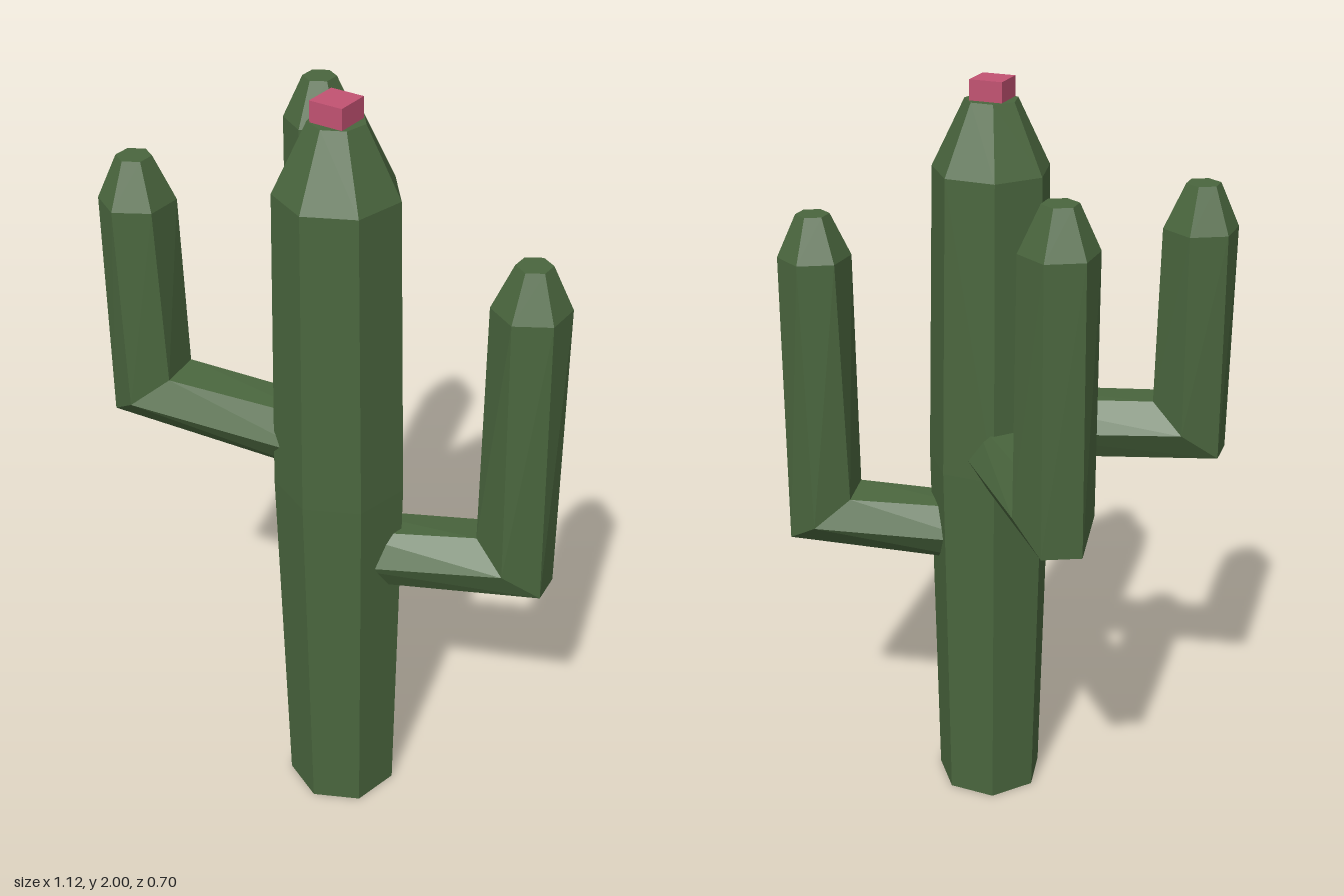
import * as THREE from 'three';

const green = new THREE.MeshStandardMaterial({ color: 0x4a663e, flatShading: true });
const pink = new THREE.MeshStandardMaterial({ color: 0xc25272, flatShading: true });
const TRUNK = { x: 0.04, z: 0.15 };
const SIDES = 6;

// Skin a list of equal-sized vertex rings and close both ends.
function skin(rings) {
  const n = rings[0].length, index = [];
  for (let k = 0; k < rings.length - 1; k++) {
    for (let i = 0; i < n; i++) {
      const a = k * n + i, b = k * n + (i + 1) % n;
      index.push(a, b, b + n, a, b + n, a + n);
    }
  }
  const last = (rings.length - 1) * n;
  for (let i = 1; i < n - 1; i++) {
    index.push(0, i + 1, i, last, last + i, last + i + 1);
  }
  const geo = new THREE.BufferGeometry();
  geo.setAttribute('position', new THREE.Float32BufferAttribute(rings.flat(2), 3));
  geo.setIndex(index);
  const flat = geo.toNonIndexed();
  flat.computeVertexNormals();
  return flat;
}

// An arm leaves the trunk, turns up at a mitred elbow and ends in a blunt tip.
function makeArm(name, { x, z, startY, elbowY, shoulderY, tipY }) {
  const dir = new THREE.Vector2(x - TRUNK.x, z - TRUNK.z).normalize();
  const step = Math.PI * 2 / SIDES;
  let twist = Math.atan2(-dir.y, dir.x);
  twist -= Math.round(twist / step) * step;

  const ring = (r, turn, place) => Array.from({ length: SIDES }, (_, i) => {
    const a = i * step + turn;
    const ox = r * Math.sin(a), oz = r * Math.cos(a);
    return place(ox, oz, ox * dir.x + oz * dir.y);
  });
  const level = (y) => (ox, oz) => [x + ox, y, z + oz];

  const geo = skin([
    ring(0.092, twist, (ox, oz, along) =>
      [TRUNK.x + ox - along * dir.x, startY - along, TRUNK.z + oz - along * dir.y]),
    ring(0.1, twist / 2, (ox, oz, along) => [x + ox, elbowY - 0.78 * along, z + oz]),
    ring(0.094, 0, level(shoulderY)),
    ring(0.043, 0, level(tipY)),
  ]);
  const mesh = new THREE.Mesh(geo, green);
  mesh.name = name;
  return mesh;
}

export function createModel() {
  const model = new THREE.Group();
  model.name = 'cactus';

  // Seven-sided trunk, slightly swollen at mid height
  const profile = [[0, 0], [0.146, 0], [0.165, 1.0], [0.15, 1.78], [0.067, 1.95], [0, 1.95]];
  const trunk = new THREE.Mesh(
    new THREE.LatheGeometry(profile.map(([r, y]) => new THREE.Vector2(r, y)), 7), green);
  trunk.position.set(TRUNK.x, 0, TRUNK.z);
  trunk.name = 'trunk';
  model.add(trunk);

  // Three arms
  model.add(
    makeArm('leftArm', { x: 0.465, z: 0.005, startY: 0.785, elbowY: 0.828, shoulderY: 1.545, tipY: 1.655 }),
    makeArm('rightArm', { x: -0.47, z: 0.245, startY: 1.108, elbowY: 1.145, shoulderY: 1.665, tipY: 1.775 }),
    makeArm('backArm', { x: -0.293, z: -0.26, startY: 1.04, elbowY: 1.08, shoulderY: 1.73, tipY: 1.84 }),
  );

  // Blossom on the crown
  const blossom = new THREE.Mesh(new THREE.BoxGeometry(0.085, 0.06, 0.085), pink);
  blossom.position.set(TRUNK.x, 1.97, TRUNK.z + 0.003);
  blossom.name = 'blossom';
  model.add(blossom);

  return model;
}
